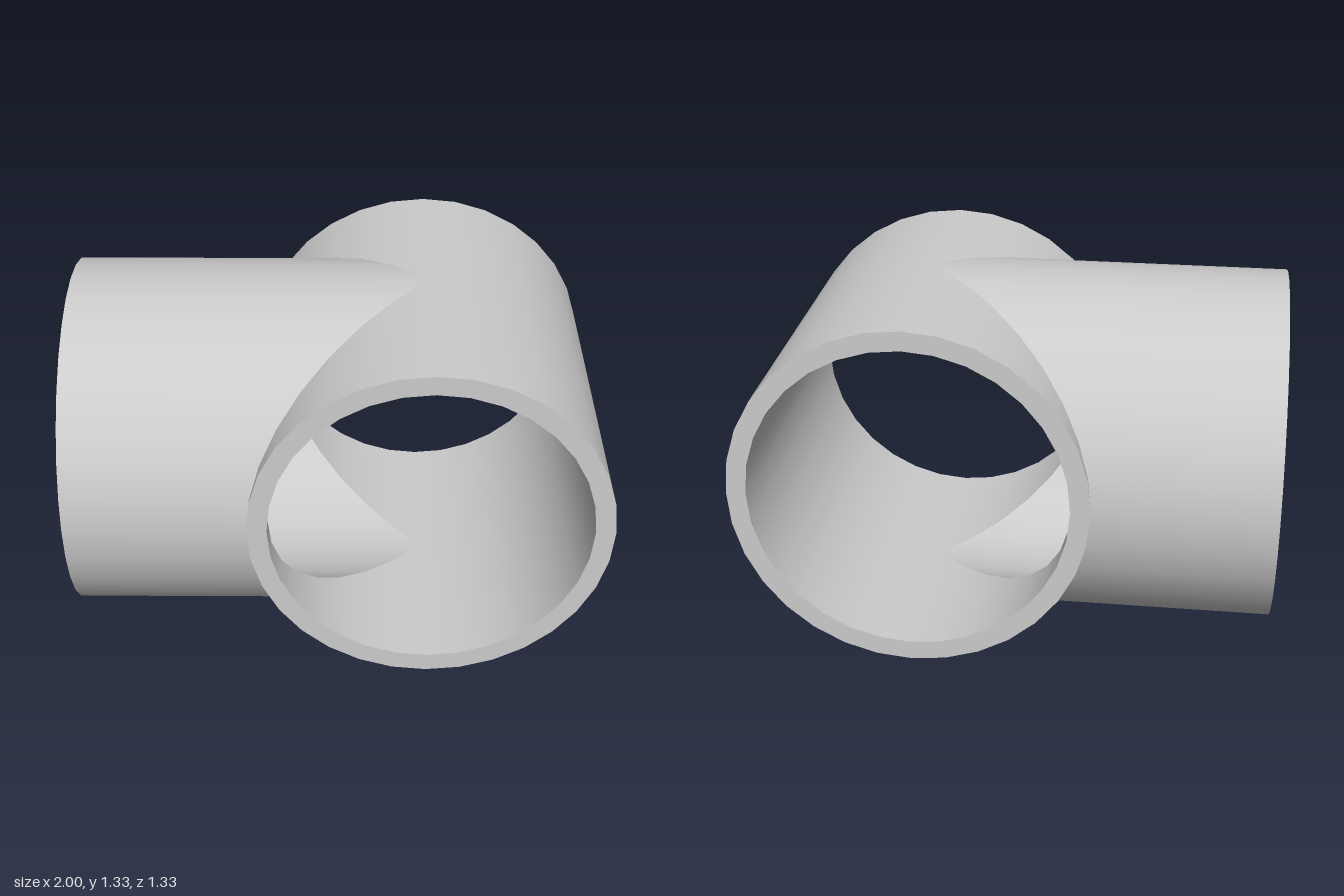
import * as THREE from 'three';

const R = 2 / 3, RI = 0.593;      // outer and inner radius
const CX = 1 / 3, CY = 2 / 3;     // axis of the through pipe
const HALF = 2 / 3, END = -1;     // half length of the through pipe, mouth of the branch
const STEP = Math.PI / 16;        // 32 sides

const material = new THREE.MeshStandardMaterial({ color: 0xcccccc });

// Strip of pipe wall between two edges; angle 0 is the top, side is +1 outside and -1 inside.
function wall(name, first, last, side, from, to, normal) {
  const positions = [], normals = [], index = [];
  for (let i = first; i <= last; i++) {
    const a = i * STEP;
    const n = normal(Math.sin(a), Math.cos(a)).map((v) => v * side);
    positions.push(...from(Math.sin(a), Math.cos(a)), ...to(Math.sin(a), Math.cos(a)));
    normals.push(...n, ...n);
    if (i === last) break;
    const k = (i - first) * 2;
    if (side > 0) index.push(k, k + 1, k + 2, k + 1, k + 3, k + 2);
    else index.push(k, k + 2, k + 1, k + 1, k + 2, k + 3);
  }
  const geometry = new THREE.BufferGeometry();
  geometry.setAttribute('position', new THREE.Float32BufferAttribute(positions, 3));
  geometry.setAttribute('normal', new THREE.Float32BufferAttribute(normals, 3));
  geometry.setIndex(index);
  const mesh = new THREE.Mesh(geometry, material);
  mesh.name = name;
  return mesh;
}

// Flat ring closing the wall at a mouth
function rim(name, x, z, turn) {
  const mesh = new THREE.Mesh(new THREE.RingGeometry(RI, R, 32, 1), material);
  mesh.name = name;
  mesh.position.set(x, CY, z);
  mesh.rotation.y = turn;
  return mesh;
}

export function createModel() {
  const model = new THREE.Group();
  model.name = 'pipeTee';
  const through = new THREE.Group(), branch = new THREE.Group();
  through.name = 'throughPipe';
  branch.name = 'branchPipe';
  model.add(through, branch);

  for (const [label, r, side] of [['outer', R, 1], ['inner', RI, -1]]) {
    // Through pipe: unbroken half, then the two parts cut on a 45 degree mitre
    const at = (z) => (s, c) => [CX + r * s, CY + r * c, z(s)];
    const normal = (s, c) => [s, c, 0];
    through.add(
      wall(label + 'Back', 0, 16, side, at(() => -HALF), at(() => HALF), normal),
      wall(label + 'FrontArm', 16, 32, side, at((s) => r * Math.abs(s)), at(() => HALF), normal),
      wall(label + 'RearArm', 16, 32, side, at(() => -HALF), at((s) => -r * Math.abs(s)), normal),
    );
    // Branch: runs from the mitre to its mouth
    const on = (x) => (s, c) => [x(s), CY + r * c, r * s];
    branch.add(wall(label + 'Branch', 0, 32, side,
      on((s) => CX - r * Math.abs(s)), on(() => END), (s, c) => [0, c, s]));
  }

  through.add(rim('frontRim', CX, HALF, 0), rim('rearRim', CX, -HALF, Math.PI));
  branch.add(rim('branchRim', END, 0, -Math.PI / 2));
  return model;
}
